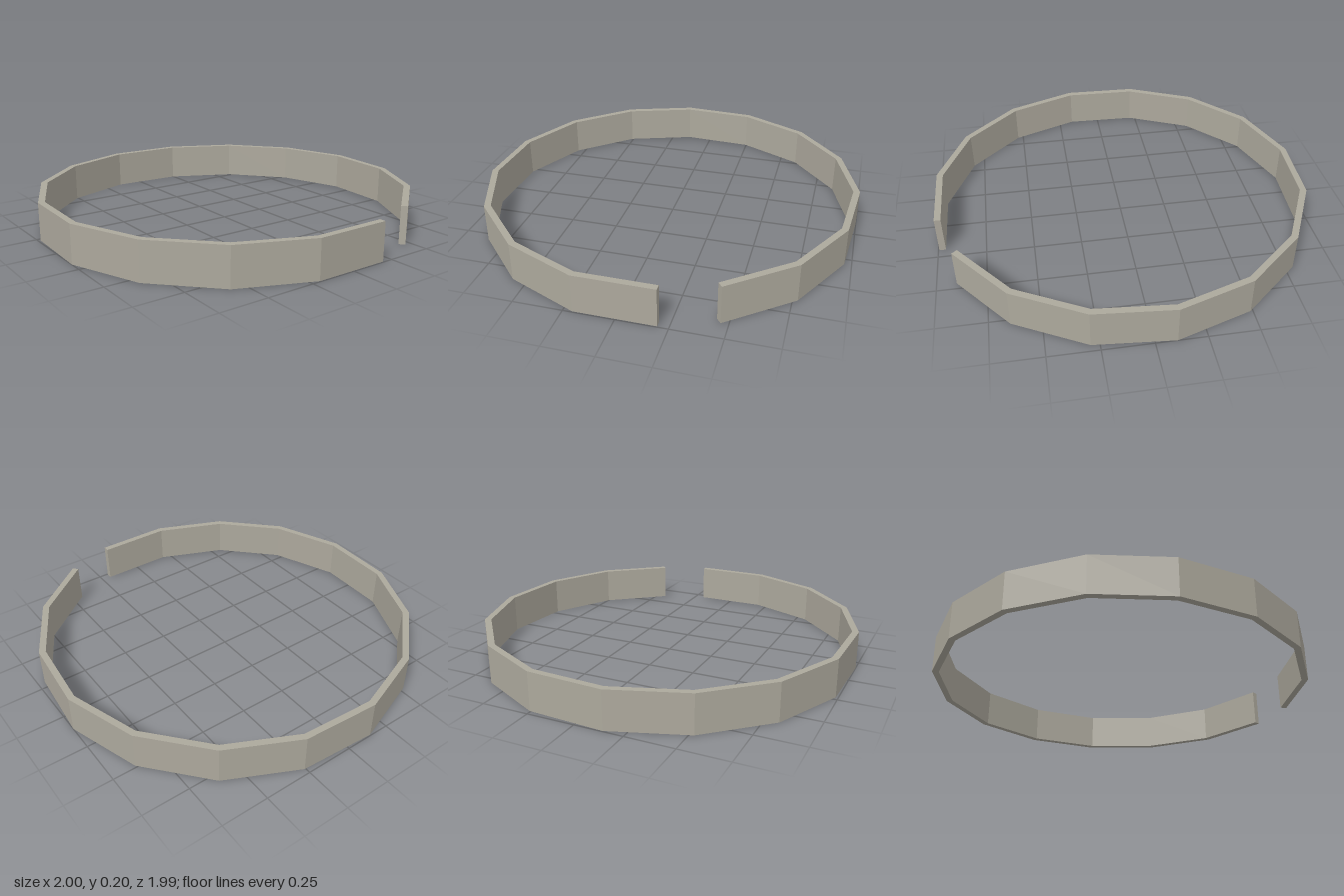
import * as THREE from 'three';

export function createModel() {
  const stone = new THREE.MeshStandardMaterial({ color: 0xaca89c, flatShading: true });
  stone.name = 'warm grey';

  const segments = 15;
  const step = THREE.MathUtils.degToRad(22.93);
  const radius = 1.01, thickness = 0.034, height = 0.2;
  const cx = -0.004, cz = 0.005;

  // Plan point at an angle measured from +z towards -x (shape y is -z)
  const at = (angle, r) =>
    new THREE.Vector2(cx - r * Math.sin(angle), -cz - r * Math.cos(angle));

  const outer = [], inner = [];
  const innerRadius = radius - thickness / Math.cos(step / 2);
  for (let i = 0; i <= segments; i++) {
    const angle = (i - 0.5) * step;
    outer.push(at(angle, radius));
    inner.push(at(angle, innerRadius));
  }

  // Square-cut the two free ends, perpendicular to their wall segments
  const squareCut = (i, middle) => {
    const inward = new THREE.Vector2(Math.sin(middle), Math.cos(middle));
    inner[i] = outer[i].clone().addScaledVector(inward, thickness);
  };
  squareCut(0, 0);
  squareCut(segments, (segments - 1) * step);

  // Open faceted ring wall
  const shape = new THREE.Shape([...outer, ...inner.reverse()]);
  const geometry = new THREE.ExtrudeGeometry(shape, { depth: height, bevelEnabled: false });
  geometry.rotateX(-Math.PI / 2);

  const ring = new THREE.Mesh(geometry, stone);
  ring.name = 'openRingWall';

  const group = new THREE.Group();
  group.name = 'openRing';
  group.add(ring);
  return group;
}
